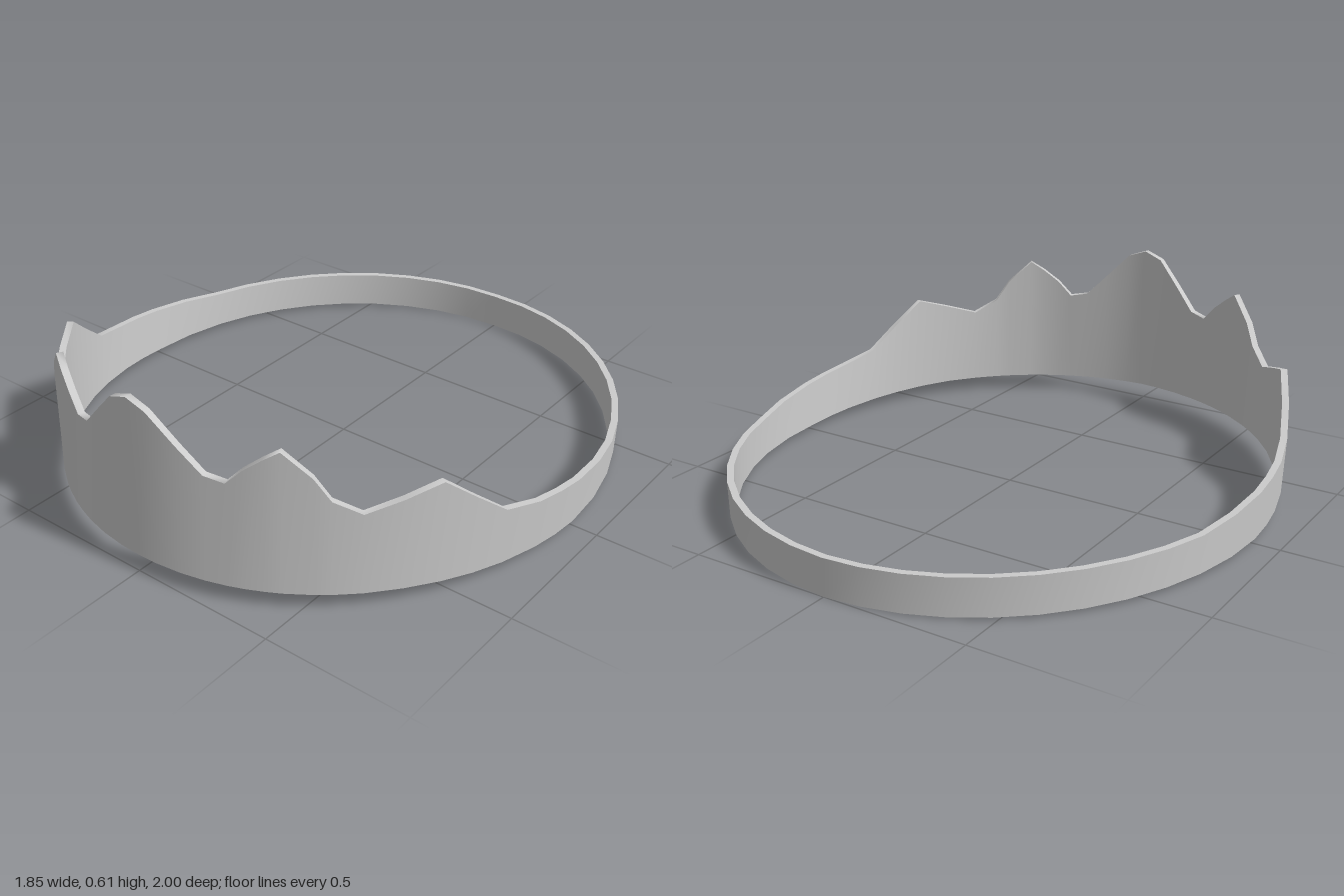
import * as THREE from 'three';

const RX = 0.914, RZ = 1.0, WALL = 0.023;

// Half outline, from the front (0 deg) round to the back (180 deg):
// angle, height of upper edge, outward lean of upper edge
const RIM = [
  [0, 0.612, -0.004], [4.4, 0.587, -0.005], [10.1, 0.497, -0.015], [15.2, 0.418, -0.02],
  [19.5, 0.406, -0.02], [22.8, 0.46, -0.015], [26.6, 0.505, -0.012], [29.8, 0.537, -0.01],
  [35.4, 0.455, -0.006], [38.5, 0.38, -0.003], [43.9, 0.332, 0], [57.9, 0.402, 0.004],
  [70.5, 0.235, 0.008], [78.3, 0.207, 0.01], [90, 0.182, 0.01], [107.6, 0.148, 0.005],
  [180, 0.131, 0],
];
// Lower edge: angle, height
const HEM = [[0, 0.065], [53, 0.052], [72, 0.037], [90, 0.021], [114, 0.019], [180, 0.004]];

function sample(table, a, col) {
  let i = 1;
  while (i < table.length - 1 && a > table[i][0]) i++;
  const p = table[i - 1], q = table[i];
  return THREE.MathUtils.mapLinear(a, p[0], q[0], p[col], q[col]);
}

// Angles of all cross-sections: outline corners plus steps of at most 9 degrees
function sectionAngles() {
  const half = [];
  for (let i = 0; i < RIM.length - 1; i++) {
    const a = RIM[i][0], b = RIM[i + 1][0], n = Math.ceil((b - a) / 9);
    for (let k = 0; k < n; k++) half.push(a + ((b - a) * k) / n);
  }
  return [...half, 180, ...half.slice(1).reverse().map((a) => -a)];
}

// Four corners of the band's section: outer low, outer top, inner top, inner low
function section(angle) {
  const a = Math.abs(angle), t = THREE.MathUtils.degToRad(angle);
  const top = sample(RIM, a, 1), lean = sample(RIM, a, 2), low = sample(HEM, a, 1);
  const at = (offset, y) =>
    [(RX + offset) * Math.sin(t), y, (RZ + offset) * Math.cos(t)];
  return [at(0, low), at(lean, top), at(lean - WALL, top), at(-WALL, low)];
}

// Closed strip between two corners of the sections; smooth along its length
function strip(sections, from, to) {
  const pos = [], index = [], n = sections.length;
  sections.forEach((s, i) => {
    pos.push(...s[from], ...s[to]);
    const a = 2 * i, b = 2 * ((i + 1) % n);
    index.push(a, b, b + 1, a, b + 1, a + 1);
  });
  const geo = new THREE.BufferGeometry();
  geo.setAttribute('position', new THREE.Float32BufferAttribute(pos, 3));
  geo.setIndex(index);
  geo.computeVertexNormals();
  return geo;
}

export function createModel() {
  const tiara = new THREE.Group();
  tiara.name = 'tiara';
  const material = new THREE.MeshStandardMaterial({ color: 0xcccccc });
  const sections = sectionAngles().map(section);
  // Separate faces keep the edges of the band sharp
  ['outerWall', 'upperEdge', 'innerWall', 'lowerEdge'].forEach((name, i) => {
    const mesh = new THREE.Mesh(strip(sections, i, (i + 1) % 4), material);
    mesh.name = name;
    tiara.add(mesh);
  });
  return tiara;
}
